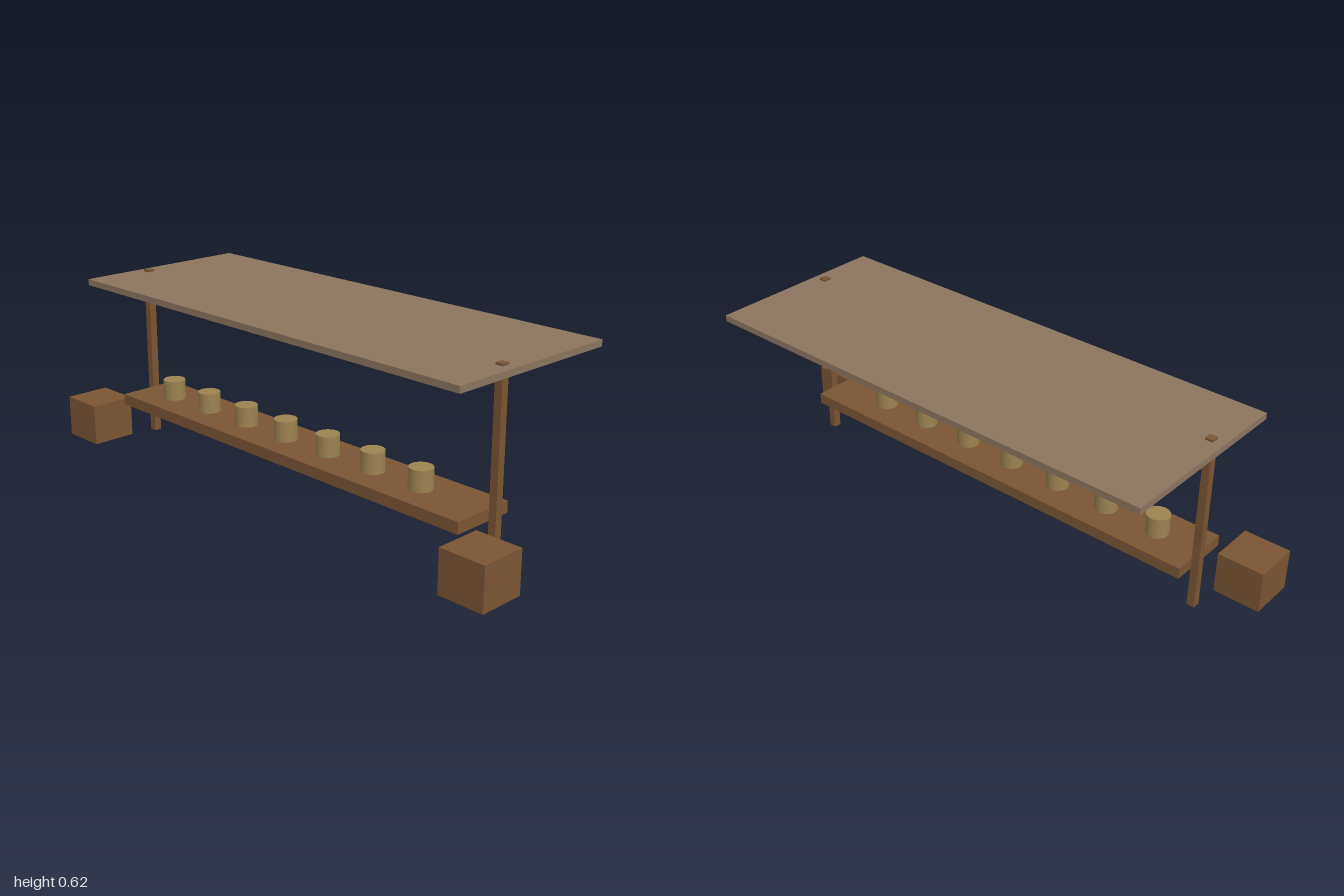
import * as THREE from 'three';

const wood = new THREE.MeshStandardMaterial({ color: 0x7a5533 });
const roofWood = new THREE.MeshStandardMaterial({ color: 0x8b7560 });
const stoolWood = new THREE.MeshStandardMaterial({ color: 0x9c8450 });

export function createModel() {
  const group = new THREE.Group();

  const add = (name, geometry, material, x, y, z) => {
    const mesh = new THREE.Mesh(geometry, material);
    mesh.name = name;
    mesh.position.set(x, y, z);
    group.add(mesh);
  };

  // Box given by its extents along each axis
  const addBox = (name, material, [x0, x1], [y0, y1], [z0, z1]) =>
    add(name, new THREE.BoxGeometry(x1 - x0, y1 - y0, z1 - z0), material,
      (x0 + x1) / 2, (y0 + y1) / 2, (z0 + z1) / 2);

  // Flat canopy and the long counter below it
  addBox('canopy', roofWood, [-0.868, 0.868], [0.595, 0.617], [-0.342, 0.316]);
  addBox('counter', wood, [-0.807, 0.807], [0.138, 0.177], [0.002, 0.229]);

  // Posts poking through the canopy, and a crate beside each
  for (const [side, s] of [['left', 1], ['right', -1]]) {
    const span = (a, b) => (s > 0 ? [a, b] : [-b, -a]);
    addBox(side + 'Post', wood, span(0.809, 0.836), [0, 0.624], [0.066, 0.093]);
    addBox(side + 'Crate', wood, span(0.836, 1), [0, 0.147], [0.181, 0.344]);
  }

  // Row of round pots on the counter
  const pot = new THREE.CylinderGeometry(0.04, 0.04, 0.071, 16);
  for (let i = 0; i < 7; i++) {
    add('pot' + (i + 1), pot, stoolWood, -0.645 + i * 0.2017, 0.2125, 0.117);
  }

  return group;
}
